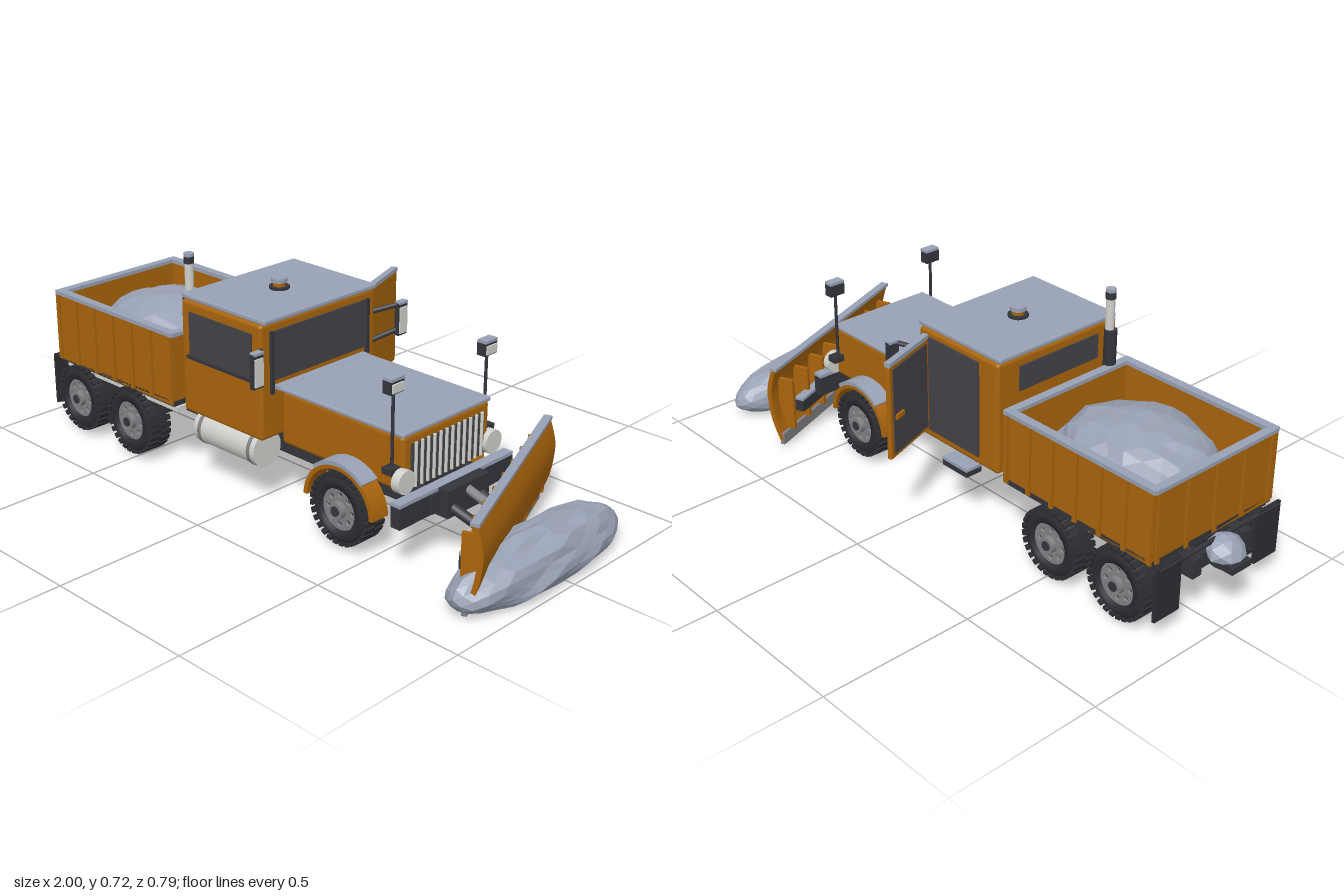
import * as THREE from 'three';
import { mergeGeometries } from 'three/addons/utils/BufferGeometryUtils.js';
import { RoundedBoxGeometry } from 'three/addons/geometries/RoundedBoxGeometry.js';

const mat = (name, color) => Object.assign(new THREE.MeshStandardMaterial({ color }), { name });
const ORANGE = mat('orange paint', 0xa9640c);
const SNOW = mat('snow', 0x98a1b4);
const DARK = mat('dark chassis', 0x33353b);
const TYRE = mat('tyre rubber', 0x2b2d31);
const GLASS = mat('dark glass', 0x434248);
const PALE = mat('pale metal', 0xd0d0cc);
const GREY = mat('rim grey', 0x818184);

function add(parent, name, geo, material, x = 0, y = 0, z = 0) {
  const m = new THREE.Mesh(geo, material);
  m.name = name;
  m.position.set(x, y, z);
  parent.add(m);
  return m;
}
// box given by its extents; r rounds the edges
function slab(parent, name, material, x0, x1, y0, y1, z0, z1, r = 0) {
  const s = [x1 - x0, y1 - y0, z1 - z0];
  const geo = r ? new RoundedBoxGeometry(...s, 2, r) : new THREE.BoxGeometry(...s);
  return add(parent, name, geo, material, (x0 + x1) / 2, (y0 + y1) / 2, (z0 + z1) / 2);
}
// round bar between two points
function rod(parent, name, material, a, b, r, sides = 10) {
  const p = new THREE.Vector3(...a), q = new THREE.Vector3(...b);
  const m = add(parent, name, new THREE.CylinderGeometry(r, r, p.distanceTo(q), sides), material);
  m.position.copy(p).add(q).multiplyScalar(0.5);
  m.quaternion.setFromUnitVectors(new THREE.Vector3(0, 1, 0), q.sub(p).normalize());
  return m;
}
// faceted snow lump: a sphere whose points are moved by a rule
function lump(parent, name, detail, rule) {
  const geo = new THREE.IcosahedronGeometry(1, detail);
  const p = geo.attributes.position, v = new THREE.Vector3();
  for (let i = 0; i < p.count; i++) {
    v.fromBufferAttribute(p, i);
    const n = Math.sin(v.x * 7 + v.z * 5) * Math.sin(v.y * 6 + v.z * 8 + 1);
    p.setXYZ(i, ...rule(v, n));
  }
  geo.computeVertexNormals();
  return add(parent, name, geo, SNOW);
}
function arch(r0, r1, a0, a1, depth) {
  const s = new THREE.Shape();
  s.absarc(0, 0, r1, a0, a1, false);
  s.absarc(0, 0, r0, a1, a0, true);
  return new THREE.ExtrudeGeometry(s, { depth, bevelEnabled: false, curveSegments: 16 }).translate(0, 0, -depth / 2);
}

// wheel parts, outer face towards +z
const R = 0.105, W = 0.08;
const tyreProfile = [[0.06, -W / 2], [0.092, -W / 2], [R, -W / 2 + 0.012], [R, W / 2 - 0.012], [0.092, W / 2], [0.066, W / 2], [0.063, W / 2 - 0.02]];
const tyreGeo = new THREE.LatheGeometry(tyreProfile.map(p => new THREE.Vector2(...p)), 32).rotateX(Math.PI / 2);
const lugs = [];
for (let i = 0; i < 56; i++) {
  const lug = new THREE.BoxGeometry(0.016, 0.011, W / 2);
  lug.translate(0, R + 0.001, (i % 2 ? 1 : -1) * W / 4);
  lugs.push(lug.rotateZ(i * Math.PI / 28));
}
const lugGeo = mergeGeometries(lugs);
const rimShape = new THREE.Shape().absarc(0, 0, 0.066, 0, Math.PI * 2);
for (let i = 0; i < 8; i++) {
  const a = i * Math.PI / 4;
  rimShape.holes.push(new THREE.Path().absarc(Math.cos(a) * 0.046, Math.sin(a) * 0.046, 0.009, 0, Math.PI * 2, true));
}
const rimGeo = new THREE.ExtrudeGeometry(rimShape, { depth: 0.01, bevelEnabled: false, curveSegments: 24 });
const roundZ = (r, l, n = 20) => new THREE.CylinderGeometry(r, r, l, n).rotateX(Math.PI / 2);

function wheel(parent, x, z) {
  const g = new THREE.Group();
  g.name = 'wheel';
  g.position.set(x, 0.127, z);
  g.rotation.y = z < 0 ? Math.PI : 0;
  add(g, 'tyre', tyreGeo, TYRE);
  add(g, 'treadLugs', lugGeo, TYRE);
  add(g, 'wheelBack', roundZ(0.064, W - 0.03), DARK, 0, 0, -0.012);
  add(g, 'rim', rimGeo, GREY, 0, 0, W / 2 - 0.018);
  add(g, 'hub', roundZ(0.026, 0.03), GREY, 0, 0, W / 2 - 0.005);
  add(g, 'hubCap', roundZ(0.015, 0.012), DARK, 0, 0, W / 2 + 0.008);
  parent.add(g);
}

function buildChassis(t) {
  for (const s of [-1, 1]) {
    slab(t, 'frameRail', DARK, -0.93, 0.64, 0.155, 0.215, s * 0.105 - 0.018, s * 0.105 + 0.018);
    for (const x of [-0.78, -0.515]) wheel(t, x, s * 0.228);
    wheel(t, 0.395, s * 0.208);
    slab(t, 'mudFlap', TYRE, -0.92, -0.91, 0.07, 0.245, s * 0.21 - 0.05, s * 0.21 + 0.05);
    // front fender with snow on its crown
    add(t, 'fender', arch(0.122, 0.136, 0.05, Math.PI - 0.05, 0.065), ORANGE, 0.395, 0.13, s * 0.217);
    add(t, 'fenderSnow', arch(0.134, 0.146, 0.85, 2.3, 0.066), SNOW, 0.395, 0.13, s * 0.217);
    rod(t, 'flapBar', DARK, [-0.915, 0.235, 0], [-0.915, 0.235, s * 0.25], 0.008);
  }
  for (const x of [-0.78, -0.515, 0.395]) {
    rod(t, 'axle', DARK, [x, 0.127, -0.22], [x, 0.127, 0.22], 0.018);
    if (x < 0) add(t, 'differential', new THREE.SphereGeometry(0.042, 14, 10), DARK, x, 0.127, 0);
  }
  rod(t, 'driveShaft', DARK, [-0.78, 0.15, 0], [0.2, 0.17, 0], 0.012);
  for (const x of [-0.9, -0.65, -0.29, 0.09, 0.55]) slab(t, 'crossMember', DARK, x - 0.015, x + 0.015, 0.16, 0.21, -0.1, 0.1);
  // tow hitch with a heap of snow
  slab(t, 'hitchPlate', DARK, -1, -0.89, 0.165, 0.187, -0.04, 0.04);
  add(t, 'hitchDisc', new THREE.CylinderGeometry(0.05, 0.05, 0.02, 16), DARK, -0.945, 0.18, 0);
  lump(t, 'hitchSnow', 1, (v, n) => [-0.943 + v.x * 0.054 + Math.max(0, v.y) * 0.015, 0.195 + Math.max(-0.1, v.y) * 0.055, v.z * 0.062 + n * 0.006]);
  // fuel tank and step
  rod(t, 'fuelTank', PALE, [-0.23, 0.182, 0.185], [0.04, 0.182, 0.185], 0.057, 28);
  for (const x of [-0.205, 0.015]) rod(t, 'tankBand', GREY, [x - 0.006, 0.182, 0.185], [x + 0.006, 0.182, 0.185], 0.0595, 28);
  slab(t, 'step', DARK, -0.14, -0.03, 0.17, 0.188, -0.25, -0.19);
  slab(t, 'stepSnow', SNOW, -0.14, -0.03, 0.188, 0.198, -0.25, -0.19);
}

function buildBed(t) {
  const x0 = -0.89, x1 = -0.31, h = 0.25, k = 0.016;
  slab(t, 'bedSubframe', PALE, -0.86, -0.3, 0.216, 0.232, -0.15, 0.245);
  slab(t, 'bedFloor', DARK, x0, x1, 0.232, 0.25, -h, h);
  for (const s of [-1, 1]) {
    slab(t, 'bedSide', ORANGE, x0, x1, 0.235, 0.466, s * (h - k / 2) - k / 2, s * (h - k / 2) + k / 2);
    slab(t, 'rimSnow', SNOW, x0 - 0.003, x1 + 0.003, 0.464, 0.477, s * 0.242 - 0.014, s * 0.242 + 0.014);
    for (let i = 0; i < 7; i++) {
      const x = x0 + 0.008 + i * 0.094;
      slab(t, 'sideRib', ORANGE, x - 0.007, x + 0.007, 0.24, 0.464, s * 0.252 - 0.006, s * 0.252 + 0.006);
    }
  }
  for (const x of [x0, x1 - k]) {
    slab(t, 'bedEnd', ORANGE, x, x + k, 0.235, 0.466, -h, h);
    slab(t, 'rimSnow', SNOW, x - 0.006, x + k + 0.006, 0.464, 0.476, -h, h);
  }
  for (let i = 0; i < 5; i++) slab(t, 'tailgateRib', ORANGE, x0 - 0.006, x0, 0.24, 0.464, -0.24 + i * 0.1165, -0.226 + i * 0.1165);
  lump(t, 'bedSnow', 4, (v, n) => [-0.6 + v.x * (0.262 + n * 0.015), 0.34 + (v.y > 0 ? v.y * (0.142 + n * 0.006) : v.y * 0.08), v.z * (0.22 + n * 0.012)]);
}

function buildCab(t) {
  slab(t, 'cab', ORANGE, -0.27, 0.08, 0.235, 0.6, -0.243, 0.243, 0.012);
  slab(t, 'roofSnow', SNOW, -0.272, 0.09, 0.6, 0.616, -0.237, 0.237, 0.005);
  slab(t, 'windshield', GLASS, 0.078, 0.086, 0.42, 0.573, -0.2, 0.2);
  for (const s of [-1, 1]) slab(t, 'windshieldTrim', DARK, 0.078, 0.09, 0.38, 0.575, s * 0.203 - 0.005, s * 0.203 + 0.005);
  slab(t, 'wiperSnow', SNOW, 0.08, 0.105, 0.392, 0.404, -0.19, 0.19);
  slab(t, 'sideWindow', GLASS, -0.23, 0.043, 0.428, 0.567, 0.24, 0.248);
  slab(t, 'sideWindowSill', DARK, -0.235, 0.048, 0.42, 0.43, 0.24, 0.257);
  slab(t, 'rearWindow', GLASS, -0.275, -0.268, 0.49, 0.57, -0.16, 0.16);
  slab(t, 'doorOpening', GLASS, -0.19, 0.04, 0.265, 0.58, -0.249, -0.241);
  // open door, hinged at its front edge
  const door = new THREE.Group();
  door.name = 'door';
  door.position.set(0.04, 0, -0.25);
  door.rotation.y = -1.23;
  slab(door, 'doorPanel', ORANGE, -0.22, 0, 0.27, 0.577, -0.008, 0.008, 0.004);
  slab(door, 'doorLining', GLASS, -0.205, -0.015, 0.285, 0.565, 0.008, 0.012);
  slab(door, 'doorSnow', SNOW, -0.22, 0, 0.577, 0.59, -0.01, 0.01);
  slab(door, 'doorHandle', ORANGE, -0.2, -0.16, 0.4, 0.415, 0.01, 0.02);
  t.add(door);
  // roof beacon
  const disc = (name, m, r, y0, y1) => add(t, name, new THREE.CylinderGeometry(r, r, y1 - y0, 16), m, -0.093, (y0 + y1) / 2, 0);
  disc('beaconBase', DARK, 0.032, 0.61, 0.624);
  disc('beacon', ORANGE, 0.02, 0.624, 0.637);
  disc('beaconSnow', SNOW, 0.025, 0.637, 0.65);
  // exhaust stack
  rod(t, 'exhaustPipe', PALE, [-0.3, 0.22, 0.18], [-0.3, 0.7, 0.18], 0.014, 16);
  rod(t, 'exhaustShield', DARK, [-0.305, 0.42, 0.18], [-0.305, 0.59, 0.18], 0.02, 16);
  rod(t, 'exhaustTip', DARK, [-0.3, 0.69, 0.18], [-0.3, 0.712, 0.18], 0.016, 16);
  rod(t, 'exhaustSnow', SNOW, [-0.3, 0.712, 0.18], [-0.3, 0.722, 0.18], 0.016, 16);
  for (const s of [-1, 1]) {
    rod(t, 'mirrorArm', DARK, [0.07, 0.52, s * 0.235], [0.132, 0.545, s * 0.3], 0.008);
    rod(t, 'mirrorArm', DARK, [0.07, 0.425, s * 0.235], [0.132, 0.465, s * 0.3], 0.008);
    slab(t, 'mirror', DARK, 0.122, 0.138, 0.443, 0.548, s * 0.307 - 0.02, s * 0.307 + 0.02);
    slab(t, 'mirrorFace', PALE, 0.138, 0.143, 0.45, 0.535, s * 0.307 - 0.016, s * 0.307 + 0.016);
    slab(t, 'mirrorSnow', SNOW, 0.12, 0.142, 0.545, 0.553, s * 0.307 - 0.018, s * 0.307 + 0.018);
  }
}

function buildNose(t) {
  slab(t, 'hood', ORANGE, 0.104, 0.585, 0.222, 0.395, -0.187, 0.187, 0.015);
  slab(t, 'firewall', DARK, 0.07, 0.11, 0.23, 0.37, -0.15, 0.15);
  slab(t, 'hoodSnow', SNOW, 0.102, 0.586, 0.39, 0.404, -0.19, 0.19, 0.005);
  slab(t, 'grille', GLASS, 0.58, 0.59, 0.235, 0.365, -0.157, 0.157);
  for (let i = 0; i < 12; i++) rod(t, 'grilleBar', PALE, [0.593, 0.235, -0.143 + i * 0.026], [0.593, 0.37, -0.143 + i * 0.026], 0.005, 8);
  slab(t, 'bumper', DARK, 0.598, 0.632, 0.15, 0.215, -0.245, 0.25);
  slab(t, 'bumperSnow', SNOW, 0.598, 0.632, 0.215, 0.226, -0.245, 0.25);
  for (const s of [-1, 1]) {
    rod(t, 'headlight', PALE, [0.575, 0.265, s * 0.19], [0.603, 0.265, s * 0.19], 0.036, 18);
    slab(t, 'lampBracket', DARK, 0.54, 0.575, 0.285, 0.305, s * 0.19 - 0.035, s * 0.19 + 0.035);
    rod(t, 'lampPost', DARK, [0.555, 0.29, s * 0.2], [0.555, 0.53, s * 0.2], 0.005);
    slab(t, 'plowLamp', DARK, 0.54, 0.57, 0.525, 0.563, s * 0.2 - 0.027, s * 0.2 + 0.027);
    slab(t, 'plowLampFace', PALE, 0.57, 0.575, 0.53, 0.556, s * 0.2 - 0.022, s * 0.2 + 0.022);
    slab(t, 'plowLampSnow', SNOW, 0.54, 0.572, 0.563, 0.572, s * 0.2 - 0.026, s * 0.2 + 0.026);
    // arms carrying the plow
    rod(t, 'pushArm', DARK, [0.61, 0.185, s * 0.07], [0.76, 0.13, s * 0.05], 0.016);
  }
  slab(t, 'plowMount', DARK, 0.61, 0.67, 0.14, 0.225, -0.09, 0.09);
  rod(t, 'liftRam', GREY, [0.64, 0.21, 0], [0.74, 0.18, 0], 0.014);
}

function buildPlow(root) {
  const plow = new THREE.Group();
  plow.name = 'plow';
  plow.position.set(0.787, 0, 0.003);
  plow.rotation.y = 0.39;
  // curved blade extruded along its length
  const curve = [[-0.02, 0.03], [0.006, 0.1], [0.018, 0.18], [0.014, 0.23], [-0.002, 0.285]];
  const face = new THREE.SplineCurve(curve.map(p => new THREE.Vector2(...p))).getPoints(12);
  const back = face.map(p => new THREE.Vector2(p.x - 0.016, p.y)).reverse();
  const L = 0.75;
  const geo = new THREE.ExtrudeGeometry(new THREE.Shape([...face, ...back]), { depth: L, bevelEnabled: false });
  add(plow, 'blade', geo, ORANGE, 0, 0, -L / 2);
  slab(plow, 'cuttingEdge', GREY, -0.036, -0.021, 0.015, 0.055, -L / 2, L / 2);
  slab(plow, 'bladeSnow', SNOW, -0.022, 0.004, 0.282, 0.293, -L / 2, L / 2);
  for (let i = 0; i < 8; i++) {
    const z = -0.33 + i * 0.094;
    slab(plow, 'bladeRib', ORANGE, -0.055, 0.0, 0.06, 0.24, z - 0.006, z + 0.006);
  }
  slab(plow, 'backBeam', DARK, -0.07, -0.04, 0.11, 0.15, -0.3, 0.3);
  slab(plow, 'backBeamSnow', SNOW, -0.07, -0.04, 0.15, 0.16, -0.3, 0.3);
  root.add(plow);
  // snow pushed up ahead of the blade
  lump(root, 'plowedSnow', 4, (v, n) => {
    const z = Math.sign(v.z) * Math.abs(v.z) ** 0.85;
    const y = 0.055 + v.y * (v.y > 0 ? 0.105 + n * 0.012 : 0.075);
    return [0.887 + v.x * (0.108 + n * 0.008), Math.max(0.003, y), 0.03 + z * 0.36 + n * 0.006];
  });
}

export function createModel() {
  const root = new THREE.Group();
  root.name = 'snowPlowTruck';
  const truck = new THREE.Group();
  truck.name = 'truck';
  truck.position.z = 0.065;
  for (const build of [buildChassis, buildBed, buildCab, buildNose]) build(truck);
  root.add(truck);
  buildPlow(root);
  return root;
}
